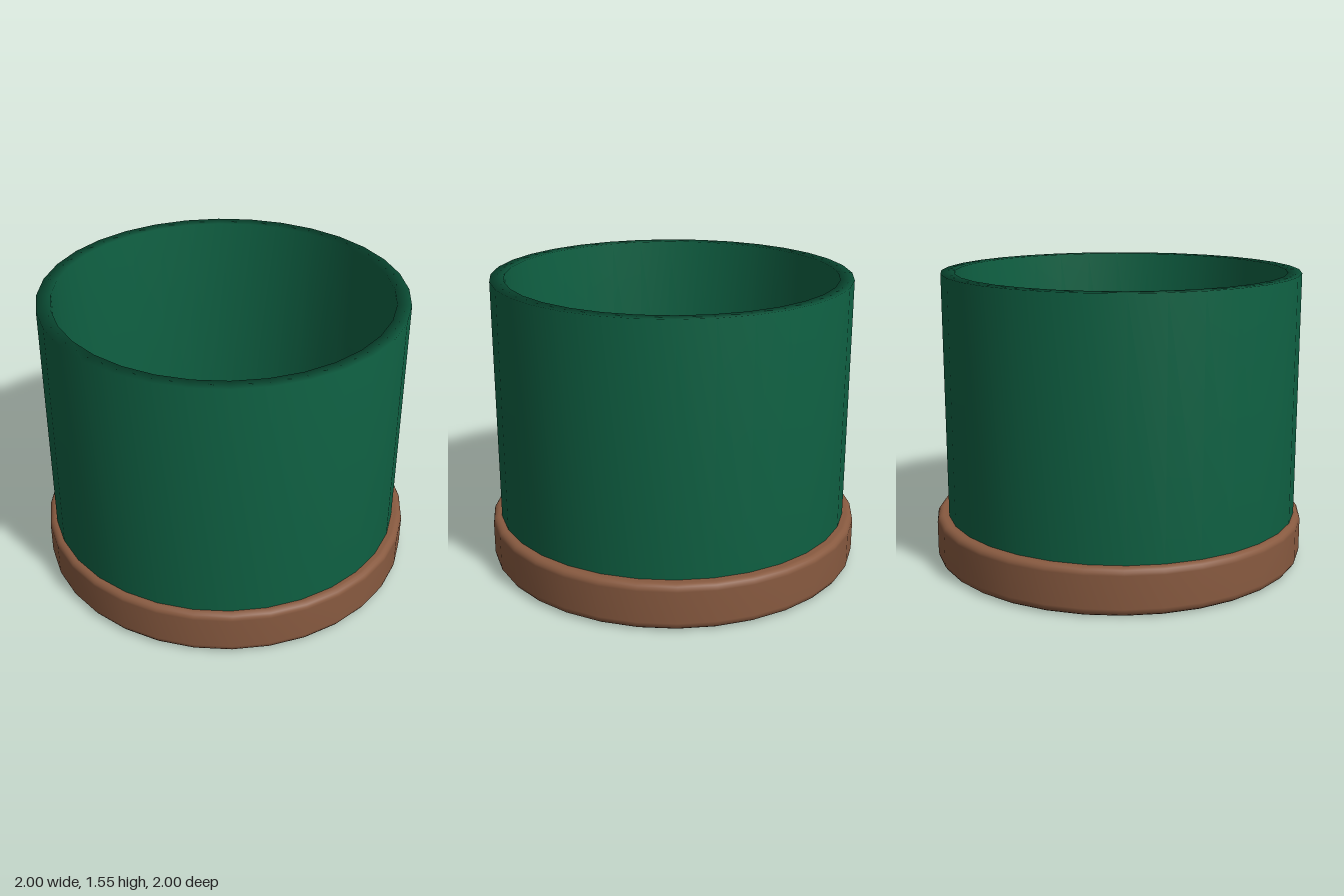
import * as THREE from 'three';

const SIDES = 32;

// Revolve a list of [radius, height] pairs around the y axis
function turned(name, profile, color) {
  const points = profile.map(([r, y]) => new THREE.Vector2(r, y));
  const mesh = new THREE.Mesh(
    new THREE.LatheGeometry(points, SIDES),
    new THREE.MeshStandardMaterial({ color })
  );
  mesh.name = name;
  return mesh;
}

// Quarter-round corner points from angle a0, turning upwards
function corner(r, y, radius, a0, steps = 4) {
  return Array.from({ length: steps + 1 }, (_, i) => {
    const a = a0 + (i / steps) * Math.PI / 2;
    return [r + radius * Math.cos(a), y + radius * Math.sin(a)];
  });
}

export function createModel() {
  const group = new THREE.Group();
  group.name = 'planter';

  // Solid saucer with rounded edges
  const height = 0.25, low = 0.045, high = 0.035;
  group.add(turned('saucer', [
    [0, 0],
    ...corner(1 - low, low, low, -Math.PI / 2),
    ...corner(1 - high, height - high, high, 0),
    [0, height],
  ], 0x885a40));

  // Open pot wall: a closed ring profile with soft normals, set slightly off centre
  const outer = 0.95, inner = 0.877, bottom = 0.24, top = 1.55;
  const middle = (outer + inner) / 2;
  const pot = turned('potWall', [
    [middle, bottom],
    [outer, bottom],
    [outer, top],
    [inner, top],
    [inner, bottom],
    [middle, bottom],
  ], 0x0f6143);
  pot.position.set(-0.01, 0, 0.01);
  group.add(pot);

  return group;
}
